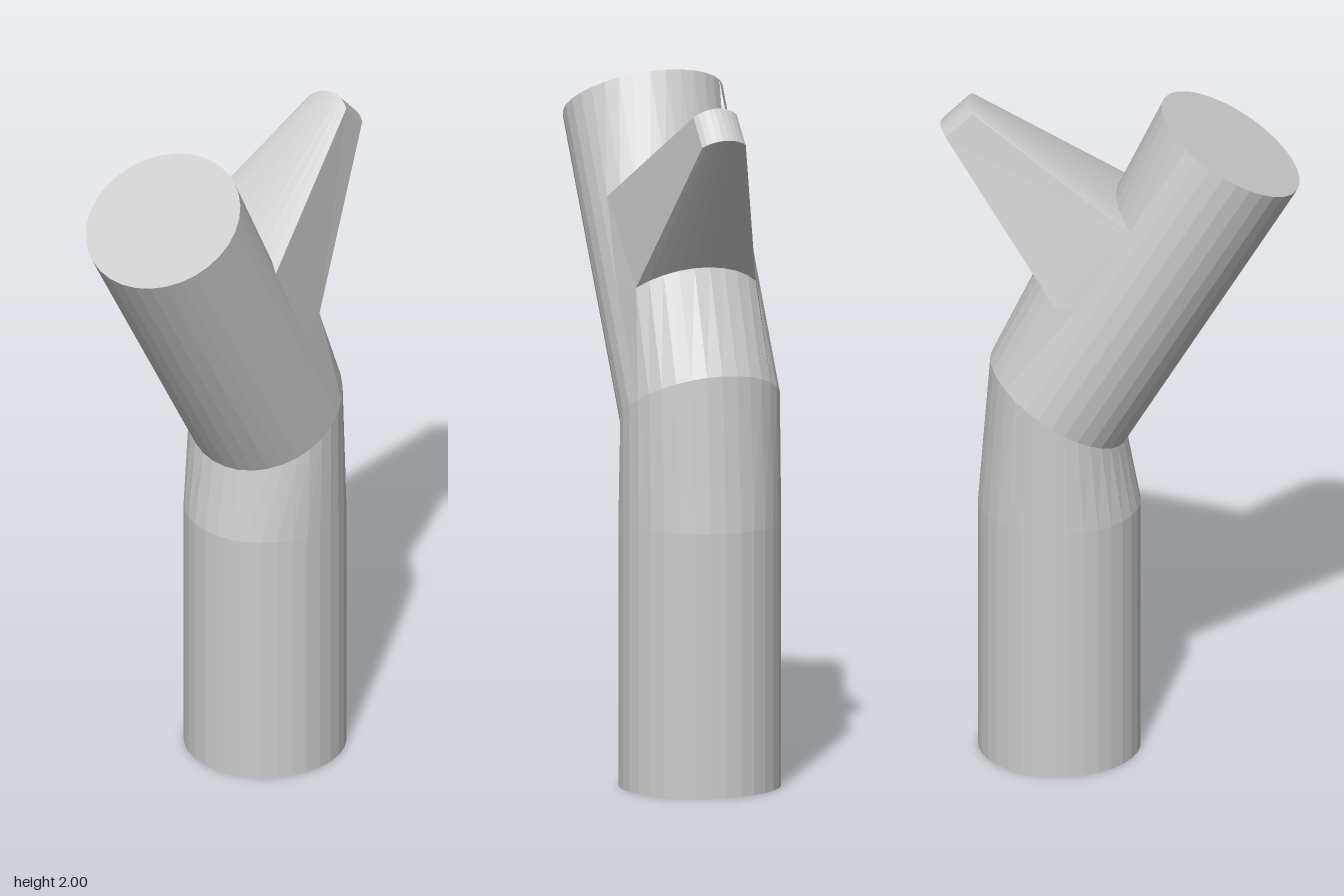
import * as THREE from 'three';

const SIDES = 32, K0 = -4, K1 = 5; // branch grows from columns K0..K1 of the trunk
const R = 0.23;
const V = (x, y, z) => new THREE.Vector3(x, y, z);

// point of a tilted trunk ring: centre (cx, cy), half-width (hx, hy) in the xy plane
const ring = (cx, cy, hx, hy) => (k) => {
  const a = (k / SIDES) * Math.PI * 2, c = Math.cos(a);
  return V(cx + hx * c, cy + hy * c, R * Math.sin(a));
};

// bowed edge across the branch: apex (x, y), drop (dx, dy) at both ends, z range
const bow = (x, y, dx, dy, z0, z1) => (k) => {
  const t = (2 * (k - K0)) / (K1 - K0) - 1, w = 0.9;
  const d = (1 - Math.cos(w * t)) / (1 - Math.cos(w));
  const s = Math.sin(w * t) / Math.sin(w);
  return V(x - dx * d, y - dy * d, (z0 + z1) / 2 + ((z1 - z0) / 2) * s);
};

const bottom = ring(0.17, 0, R, 0);
const middle = ring(0.17, 0.755, R, 0);
const bend = ring(0.1725, 1.08, 0.1925, 0.12);
const top = ring(-0.315, 1.882, 0.195, 0.118);

const baseLow = bow(0.225, 1.49, 0.055, 0.057, -0.167, 0.191);
const baseHigh = bow(0.01, 1.72, 0.06, 0.06, -0.16, 0.2);
const tipLow = bow(0.51, 1.9, 0.02, 0.02, -0.025, 0.105);
const tipHigh = bow(0.432, 1.98, 0.018, 0.025, -0.025, 0.105);

const inArc = (k) => k >= K0 && k <= K1;
// rings through the branch foot follow its edges, and run straight elsewhere
const through = (edge, f) => (k) => (inArc(k) ? edge(k) : bend(k).lerp(top(k), f));
const footLow = through(baseLow, 0.36);
const footHigh = through(baseHigh, 0.645);

function tri(out, ...pts) {
  pts.forEach((p) => out.push(p.x, p.y, p.z));
}
function quad(out, a, b, c, d) {
  tri(out, a, b, c);
  tri(out, a, c, d);
}
// strip cell between two rows at column k
function cell(out, lower, upper, k) {
  quad(out, lower(k + 1), lower(k), upper(k), upper(k + 1));
}

function mesh(name, positions) {
  const g = new THREE.BufferGeometry();
  g.setAttribute('position', new THREE.Float32BufferAttribute(positions, 3));
  g.computeVertexNormals();
  const m = new THREE.Mesh(g, new THREE.MeshStandardMaterial({ color: 0xcccccc, flatShading: true }));
  m.name = name;
  return m;
}

export function createModel() {
  const group = new THREE.Group();
  group.name = 'forkedTrunk';

  // trunk wall, open where the branch grows out, and its two flat ends
  const trunk = [], caps = [];
  const rows = [bottom, middle, bend, footLow, footHigh, top];
  for (let k = -SIDES / 2; k < SIDES / 2; k++) {
    for (let r = 0; r < rows.length - 1; r++) {
      const open = rows[r] === footLow && inArc(k) && inArc(k + 1);
      if (!open) cell(trunk, rows[r], rows[r + 1], k);
    }
    tri(caps, V(0.17, 0, 0), bottom(k), bottom(k + 1));
    tri(caps, V(-0.315, 1.882, 0), top(k + 1), top(k));
  }

  // branch: underside, blunt tip, upper side, then the two flat cheeks
  const branch = [];
  const loop = [baseLow, tipLow, tipHigh, baseHigh];
  for (let k = K0; k < K1; k++) {
    for (let r = 0; r < 3; r++) cell(branch, loop[r], loop[r + 1], k);
  }
  quad(branch, ...loop.map((f) => f(K1)));
  quad(branch, ...loop.map((f) => f(K0)).reverse());

  group.add(mesh('trunk', trunk), mesh('trunkEnds', caps), mesh('branch', branch));
  return group;
}
